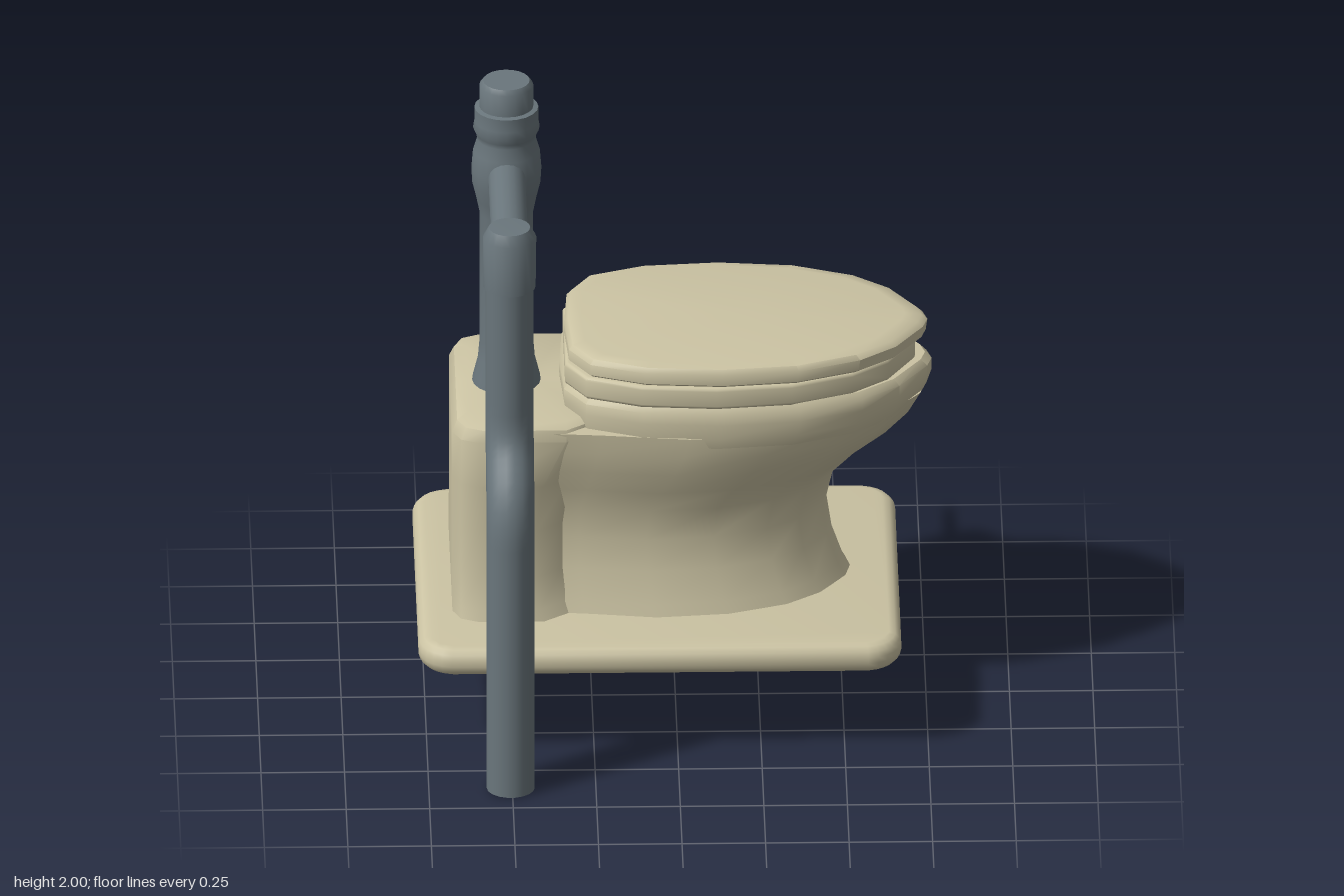
import * as THREE from 'three';
import { toCreasedNormals } from 'three/addons/utils/BufferGeometryUtils.js';

const ceramic = new THREE.MeshStandardMaterial({ color: 0xcbc3a3 });
ceramic.name = 'cream ceramic';
const metal = new THREE.MeshStandardMaterial({ color: 0x6a767c });
metal.name = 'grey pipe metal';

const CZ = -0.13; // centre line of the bowl and base

// Half outlines, front to back: [fraction of length, fraction of half width]
const EGG = [[1, 0], [0.987, 0.14], [0.91, 0.5], [0.81, 0.74], [0.64, 0.935], [0.43, 1],
  [0.22, 0.95], [0.067, 0.78], [0.01, 0.5], [0, 0]];
const BODY = [[1, 0], [0.985, 0.2], [0.91, 0.53], [0.81, 0.76], [0.64, 0.94], [0.43, 1],
  [0.22, 0.91], [0.09, 0.87], [0, 0.87], [0, 0]];

// Scale a half outline to a length and half width, then mirror it into a loop
function ring(outline, xBack, xFront, half) {
  const side = outline.map(([u, w]) => [xBack + u * (xFront - xBack), w * half]);
  return mirror(side);
}
function mirror(side) {
  const other = side.slice(1, -1).reverse().map(([x, w]) => [x, -w]);
  return [...side, ...other];
}

// Skin a stack of [height, loop] sections and close both ends
function loft(sections, crease = 0.75) {
  const pos = [], idx = [], n = sections[0][1].length;
  for (const [y, loop] of sections) for (const [x, w] of loop) pos.push(x, y, CZ - w);
  for (let r = 0; r < sections.length - 1; r++) {
    for (let i = 0; i < n; i++) {
      const j = (i + 1) % n, a = r * n + i, b = r * n + j;
      idx.push(a, b, b + n, a, b + n, a + n);
    }
  }
  const cap = (r, up) => {
    const [y, loop] = sections[r], c = pos.length / 3;
    pos.push((loop[0][0] + loop[n / 2][0]) / 2, y, CZ);
    for (let i = 0; i < n; i++) {
      const a = r * n + i, b = r * n + (i + 1) % n;
      idx.push(c, ...(up ? [a, b] : [b, a]));
    }
  };
  cap(0, false);
  cap(sections.length - 1, true);
  const g = new THREE.BufferGeometry();
  g.setAttribute('position', new THREE.Float32BufferAttribute(pos, 3));
  g.setIndex(idx);
  return toCreasedNormals(g, crease);
}

// Flat plate with rounded edges, lying between two heights
function plate(shape, y0, y1, bevel) {
  const g = new THREE.ExtrudeGeometry(shape, {
    depth: y1 - y0 - 2 * bevel, bevelThickness: bevel, bevelSize: bevel,
    bevelOffset: -bevel, bevelSegments: 3, curveSegments: 5 });
  g.rotateX(-Math.PI / 2).translate(0, y0 + bevel, CZ);
  return toCreasedNormals(g, 0.75);
}

function lathe(points) {
  const g = new THREE.LatheGeometry(points.map(([r, y]) => new THREE.Vector2(r, y)), 20);
  return toCreasedNormals(g, 0.7);
}

export function createModel() {
  const model = new THREE.Group();
  const add = (name, geometry, material, x = 0, y = 0, z = 0) => {
    const m = new THREE.Mesh(geometry, material);
    m.name = name;
    m.position.set(x, y, z);
    model.add(m);
    return m;
  };

  // Floor slab
  const slab = new THREE.Shape();
  const L = -0.775, R = 0.67, H = 0.557, c = 0.1;
  slab.moveTo(L + c, -H).lineTo(R - c, -H).quadraticCurveTo(R - 0.015, -H + 0.015, R, -H + c);
  slab.lineTo(R, H - c).quadraticCurveTo(R - 0.015, H - 0.015, R - c, H);
  slab.lineTo(L + c, H).quadraticCurveTo(L + 0.015, H - 0.015, L, H - c);
  slab.lineTo(L, -H + c).quadraticCurveTo(L + 0.015, -H + 0.015, L + c, -H);
  add('floorSlab', plate(slab, 0.275, 0.365, 0.036), ceramic);

  // Rear block: [height, half width, front x, inset at the top edge]
  const block = [[0.34, 0.37, -0.31, 0], [0.4, 0.352, -0.33, 0], [0.5, 0.336, -0.34, 0],
    [0.65, 0.33, -0.34, 0], [0.8, 0.332, -0.32, 0], [0.95, 0.335, -0.25, 0],
    [0.985, 0.325, -0.25, 0.015], [1.0, 0.295, -0.25, 0.05]];
  add('rearBlock', loft(block.map(([y, h, f, s]) => [y, mirror([[f, 0], [f, h - 0.06],
    [f - 0.08, h], [-0.59 + s, h], [-0.645 + s, h - 0.025], [-0.67 + s, h - 0.08],
    [-0.67 + s, 0]])])), ceramic);

  // Pedestal flaring up into the bowl: [height, front x, half width]
  const pedestal = [[0.34, 0.54, 0.35], [0.4, 0.505, 0.33], [0.5, 0.47, 0.303], [0.6, 0.455, 0.292],
    [0.7, 0.478, 0.302], [0.77, 0.55, 0.325], [0.84, 0.645, 0.35], [0.91, 0.715, 0.368],
    [0.975, 0.753, 0.375]];
  add('pedestal', loft(pedestal.map(([y, f, h]) => [y, ring(BODY, -0.5, f, h)]), 1), ceramic);

  // Bowl rim
  const rim = [[0.94, -0.33, 0.73, 0.368], [0.975, -0.34, 0.755, 0.376], [1.02, -0.345, 0.77, 0.376],
    [1.055, -0.345, 0.77, 0.374], [1.075, -0.33, 0.75, 0.36]];
  add('bowlRim', loft(rim.map(([y, b, f, h]) => [y, ring(EGG, b, f, h)])), ceramic);

  // Seat ring, split at the front
  const outer = EGG.slice(1, -1).map(([u, w], i) =>
    [-0.342 + u * 1.075, i ? w * 0.37 : 0.037]);
  const inner = EGG.slice(2, -1).map(([u, w]) => [-0.06 + u * 0.63, w * 0.23]);
  inner.unshift([0.55, 0.037]);
  const flip = (pts) => pts.map(([x, w]) => [x, -w]);
  const seatLoop = [...outer, ...flip(outer).reverse(), ...flip(inner), ...[...inner].reverse()];
  const seat = new THREE.Shape(seatLoop.map(([x, w]) => new THREE.Vector2(x, w)));
  add('seat', plate(seat, 1.07, 1.142, 0.012), ceramic);

  // Lid
  const lid = [[1.14, -0.318, 0.735, 0.355], [1.15, -0.33, 0.752, 0.368], [1.185, -0.33, 0.757, 0.37],
    [1.2, -0.318, 0.74, 0.36], [1.206, -0.28, 0.69, 0.33]];
  add('lid', loft(lid.map(([y, b, f, h]) => [y, ring(EGG, b, f, h)])), ceramic);

  // Flush pipe with valve bulge and collar
  add('flushPipe', lathe([[0, 0.98], [0.105, 0.98], [0.1, 1.02], [0.085, 1.08], [0.08, 1.14],
    [0.08, 1.56], [0.09, 1.61], [0.102, 1.66], [0.105, 1.71], [0.1, 1.77], [0.088, 1.81],
    [0.09, 1.825], [0.1, 1.845], [0.096, 1.87], [0.096, 1.912], [0.081, 1.915], [0.081, 1.985],
    [0.07, 2], [0, 2]]), metal, -0.503, 0, -0.123);

  // Flush handle
  const handle = new THREE.CylinderGeometry(0.012, 0.019, 0.27, 10);
  add('flushHandle', handle, metal, -0.503, 1.89, -0.255).rotation.x = -Math.PI / 2;

  // Cross pipe
  const cross = new THREE.CylinderGeometry(0.056, 0.056, 0.56, 18);
  add('crossPipe', cross, metal, -0.503, 1.71, 0.16).rotation.x = Math.PI / 2;

  // Elbow cap
  add('elbowCap', lathe([[0, 1.6], [0.078, 1.6], [0.08, 1.765], [0.062, 1.797], [0, 1.8]]),
    metal, -0.505, 0, 0.455);

  // Supply pipe with an offset bend
  const path = new THREE.CurvePath();
  const v = (y, z) => new THREE.Vector3(-0.505, y, z);
  path.add(new THREE.LineCurve3(v(0.003, 0.617), v(0.82, 0.601)));
  path.add(new THREE.CubicBezierCurve3(v(0.82, 0.601), v(1.04, 0.597), v(0.98, 0.455), v(1.2, 0.455)));
  path.add(new THREE.LineCurve3(v(1.2, 0.455), v(1.65, 0.455)));
  add('supplyPipe', new THREE.TubeGeometry(path, 48, 0.072, 18), metal);
  const end = new THREE.CircleGeometry(0.072, 18).rotateX(Math.PI / 2);
  add('supplyPipeEnd', end, metal, -0.505, 0.002, 0.617);

  return model;
}
